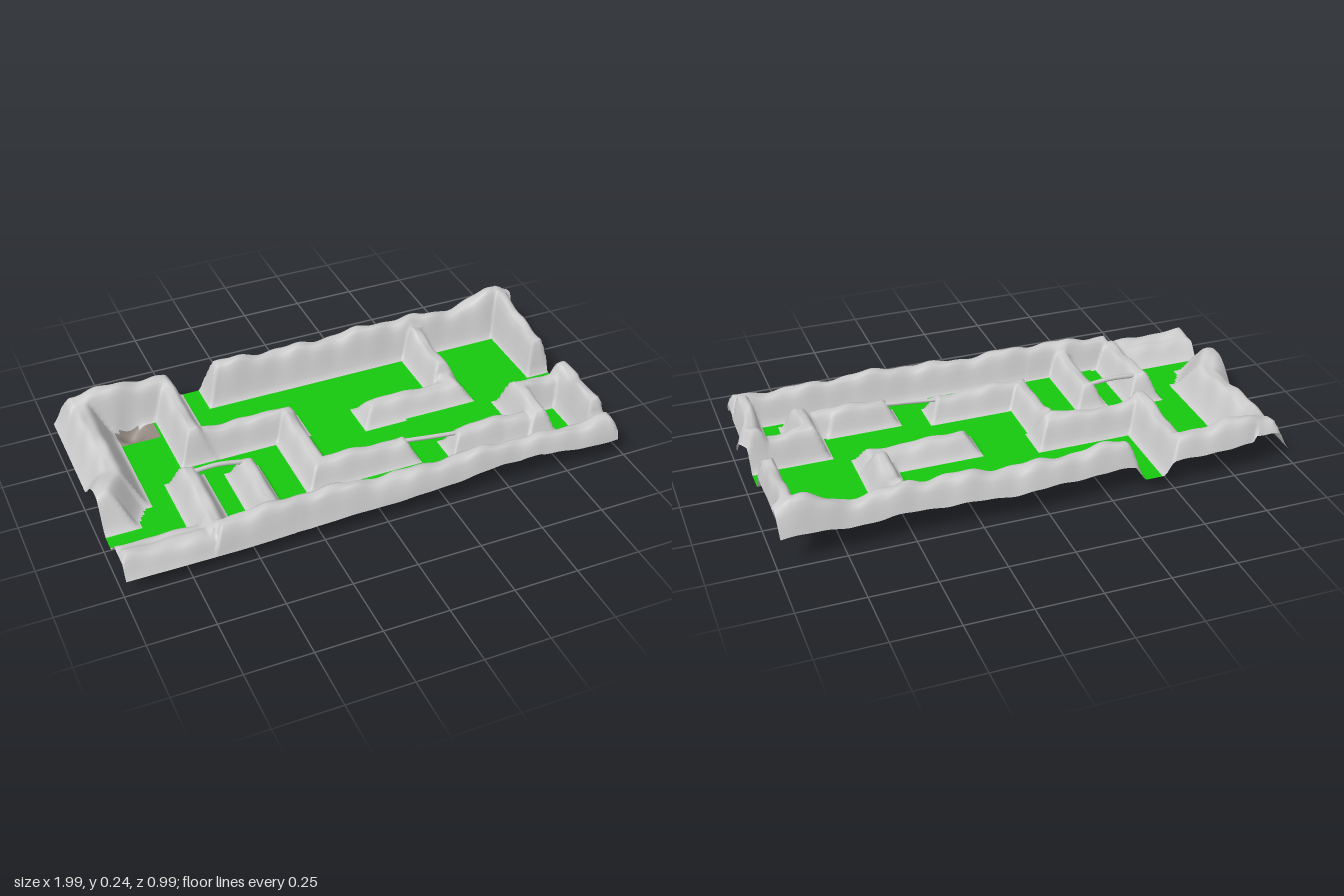
import * as THREE from 'three';

const FLOOR = 0.05, NX = 200, NZ = 100;

// Ridges: crest path [x, z], half width at the foot, height above the floor
const ridges = [
  // outer border
  { path: [[-0.9, -0.43], [-0.55, -0.43]], w: 0.085, h: 0.135 },
  { path: [[-0.31, -0.43], [0.95, -0.43]], w: 0.082, h: 0.14 },
  { path: [[-0.89, -0.43], [-0.89, 0.03], [-0.96, 0.13]], w: 0.11, h: 0.13 },
  { path: [[-0.95, 0.39], [-0.66, 0.39]], w: 0.095, h: 0.065 },
  { path: [[-0.95, 0.425], [-0.6, 0.425]], w: 0.07, h: 0.075 },
  { path: [[-0.6, 0.425], [-0.3, 0.43], [0.6, 0.447], [0.93, 0.437]], w: 0.068, h: 0.115 },
  { path: [[0.93, -0.43], [0.93, -0.1]], w: 0.06, h: 0.145 },
  { path: [[0.925, 0.12], [0.925, 0.36]], w: 0.06, h: 0.15 },
  // inner walls
  { path: [[-0.54, -0.43], [-0.54, -0.1]], w: 0.078, h: 0.12 },
  { path: [[-0.54, -0.1], [-0.16, -0.1]], w: 0.07, h: 0.1 },
  { path: [[-0.16, -0.1], [-0.16, 0.23], [0.17, 0.23]], w: 0.068, h: 0.085 },
  { path: [[0.41, 0.265], [0.58, 0.265], [0.73, 0.28]], w: 0.065, h: 0.085 },
  { path: [[0.73, 0.28], [0.73, 0.125], [0.94, 0.115]], w: 0.07, h: 0.11 },
  { path: [[0.53, -0.4], [0.525, -0.15]], w: 0.075, h: 0.11 },
  { path: [[0.525, -0.15], [0.525, -0.05], [0.19, -0.045]], w: 0.075, h: 0.07 },
  { path: [[-0.625, 0.11], [-0.625, 0.4]], w: 0.078, h: 0.1 },
  { path: [[-0.405, 0.13], [-0.405, 0.4]], w: 0.068, h: 0.09 },
];

// Raised spots on the ridges: x, z, extent, extra height ratio
const knuckles = [
  [0.9, -0.44, 0.1, 0.35], [-0.18, -0.06, 0.055, 0.35], [0.5, -0.36, 0.045, 0.3],
  [-0.72, -0.44, 0.12, 0.2], [0.93, 0.29, 0.07, 0.15],
];

// Square-cornered distance from a point to a path
function pathDistance(path, x, z) {
  let best = Infinity;
  for (let i = 0; i < path.length - 1; i++) {
    const [ax, az] = path[i], dx = path[i + 1][0] - ax, dz = path[i + 1][1] - az;
    const t = THREE.MathUtils.clamp(((x - ax) * dx + (z - az) * dz) / (dx * dx + dz * dz), 0, 1);
    best = Math.min(best, Math.max(Math.abs(x - ax - t * dx), Math.abs(z - az - t * dz)));
  }
  return best;
}

// Gentle lumps along the crests
function lumps(x, z) {
  let k = 1 + 0.06 * Math.sin(9 * x + 7 * z + 1) + 0.06 * Math.sin(23 * x - 17 * z)
    + 0.03 * Math.sin(51 * x + 43 * z);
  for (const [cx, cz, size, gain] of knuckles) {
    k += gain * Math.exp(-((x - cx) ** 2 + (z - cz) ** 2) / size ** 2);
  }
  return k;
}

function height(x, z) {
  let rise = 0;
  for (const { path, w, h } of ridges) {
    const d = pathDistance(path, x, z);
    if (d < w) rise = Math.max(rise, h * THREE.MathUtils.smoothstep(w - d, 0, w - 0.015));
  }
  // round pit in the floor
  const p = Math.hypot(x + 0.72, z + 0.32);
  const dip = p < 0.075 ? 0.025 * (1 + Math.cos(Math.PI * p / 0.075)) : 0;
  return FLOOR + rise * lumps(x, z) - dip;
}

function createTerrain() {
  const positions = [], id = (i, j) => j * (NX + 1) + i;
  for (let j = 0; j <= NZ; j++) for (let i = 0; i <= NX; i++) {
    const u = 2 * i / NX - 1, v = 2 * j / NZ - 1;
    const x = u * 0.977 - 0.008, z = v * 0.485 + 0.003, y = height(x, z);
    // raised rim bulges unevenly outward
    const raised = Math.min(1, (y - FLOOR) * 20);
    const ex = Math.max(0, u - 0.9) * 10, ez = Math.max(0, Math.abs(v) - 0.84) / 0.16;
    positions.push(
      x + ex * raised * (0.032 * Math.exp(-(((z - 0.16) / 0.05) ** 2)) + 0.018 * Math.exp(-(((z + 0.44) / 0.06) ** 2))), y,
      z + Math.sign(v) * ez * raised * 0.012 * (0.4 + 0.6 * Math.sin(8 * x + 0.5)));
  }
  // sort the cells into floor, walls and pit
  const cells = { floor: [], walls: [], pit: [] };
  for (let j = 0; j < NZ; j++) for (let i = 0; i < NX; i++) {
    const a = id(i, j), b = id(i + 1, j), c = id(i, j + 1), d = id(i + 1, j + 1);
    const ys = [a, b, c, d].map(k => positions[3 * k + 1]);
    const x = positions[3 * a], z = positions[3 * a + 2];
    const inPit = Math.abs(x + 0.705) < 0.075 && Math.abs(z + 0.32) < 0.07;
    const part = Math.max(...ys) > FLOOR + 0.002 ? 'walls' : inPit || Math.min(...ys) < FLOOR - 0.001 ? 'pit' : 'floor';
    cells[part].push(a, c, b, b, c, d);
  }
  const whole = new THREE.BufferGeometry();
  whole.setAttribute('position', new THREE.Float32BufferAttribute(positions, 3));
  whole.setIndex([...cells.floor, ...cells.walls, ...cells.pit]);
  whole.computeVertexNormals();
  const colors = { floor: 0x16c80e, walls: 0xcccccc, pit: 0x948a82 };
  return Object.keys(cells).map(name => {
    const g = new THREE.BufferGeometry();
    g.setAttribute('position', whole.getAttribute('position'));
    g.setAttribute('normal', whole.getAttribute('normal'));
    g.setIndex(cells[name]);
    const mesh = new THREE.Mesh(g, new THREE.MeshStandardMaterial({ color: colors[name], side: THREE.DoubleSide }));
    mesh.name = name;
    return mesh;
  });
}

// Thin strand joining two wall ends
function createBridge(points) {
  const curve = new THREE.CatmullRomCurve3(points.map(p => new THREE.Vector3(...p)));
  const mesh = new THREE.Mesh(new THREE.TubeGeometry(curve, 16, 0.009, 6),
    new THREE.MeshStandardMaterial({ color: 0xcccccc }));
  mesh.name = 'bridge';
  return mesh;
}

export function createModel() {
  const group = new THREE.Group();
  group.name = 'mazeTerrain';
  group.add(...createTerrain());
  group.add(createBridge([[-0.62, 0.14, 0.11], [-0.51, 0.145, 0.112], [-0.4, 0.13, 0.12]]));
  group.add(createBridge([[0.15, 0.122, 0.22], [0.29, 0.122, 0.245], [0.42, 0.122, 0.265]]));
  return group;
}
